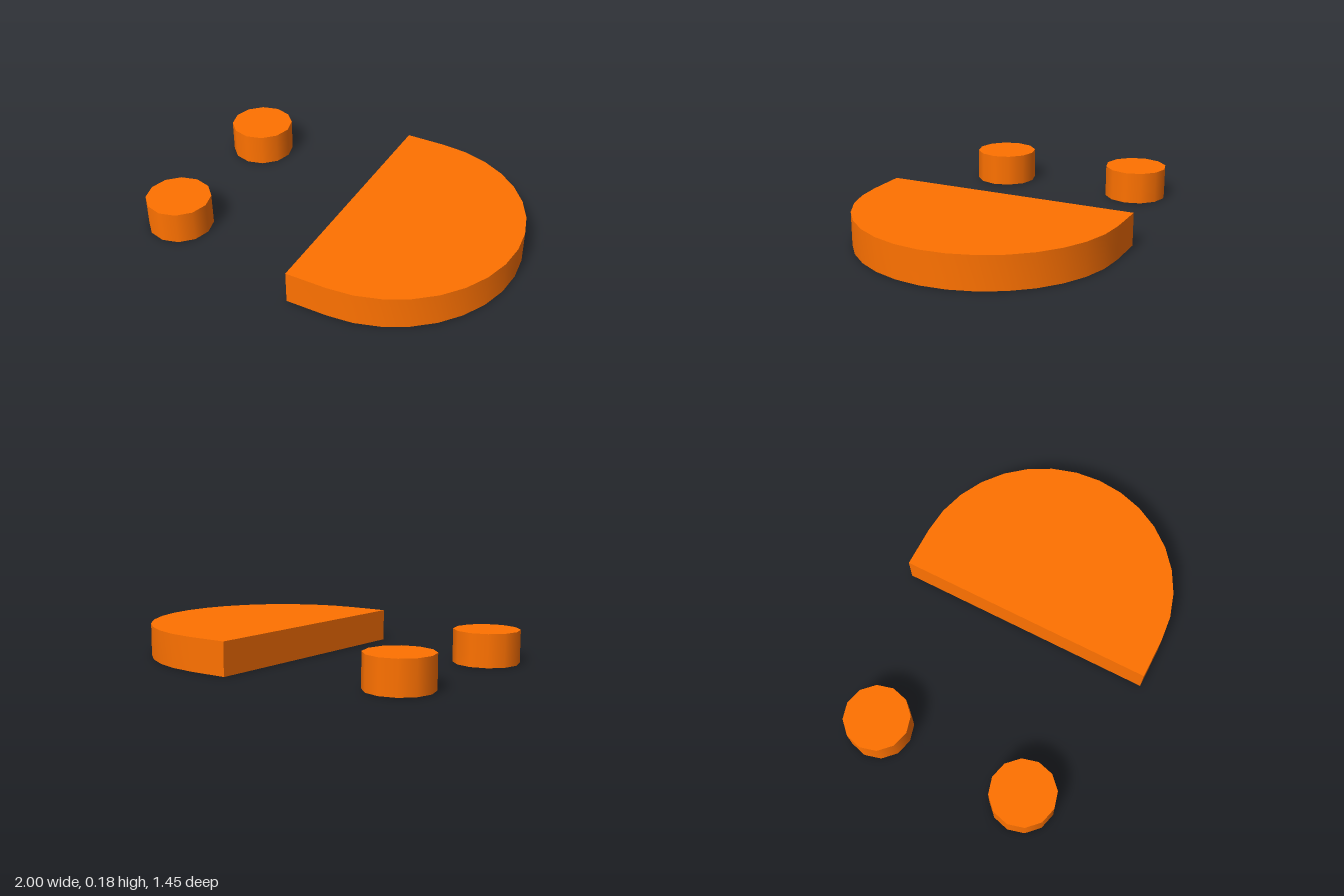
import * as THREE from 'three';
import { toCreasedNormals } from 'three/addons/utils/BufferGeometryUtils.js';

const HEIGHT = 0.182;

export function createModel() {
  const group = new THREE.Group();
  const orange = new THREE.MeshStandardMaterial({ color: 0xff7200 });

  // D-shaped slab: short straight sides running into a half circle of 16 facets
  const radius = 0.727, arcX = 0.273, flatX = 0.04;
  const outline = new THREE.Shape();
  outline.moveTo(flatX, -radius);
  outline.lineTo(arcX, -radius);
  outline.absarc(arcX, 0, radius, -Math.PI / 2, Math.PI / 2, false);
  outline.lineTo(flatX, radius);
  const slabGeometry = new THREE.ExtrudeGeometry(outline, {
    depth: HEIGHT, bevelEnabled: false, curveSegments: 8,
  }).rotateX(-Math.PI / 2);
  const slab = new THREE.Mesh(toCreasedNormals(slabGeometry, 0.6), orange);
  slab.name = 'halfRoundSlab';
  group.add(slab);

  // Two round discs, mirrored front to back
  const discGeometry = new THREE.CylinderGeometry(0.181, 0.181, HEIGHT, 12);
  for (const side of [-1, 1]) {
    const disc = new THREE.Mesh(discGeometry, orange);
    disc.name = side > 0 ? 'frontDisc' : 'backDisc';
    disc.position.set(-0.819, HEIGHT / 2, side * 0.437);
    group.add(disc);
  }
  return group;
}
